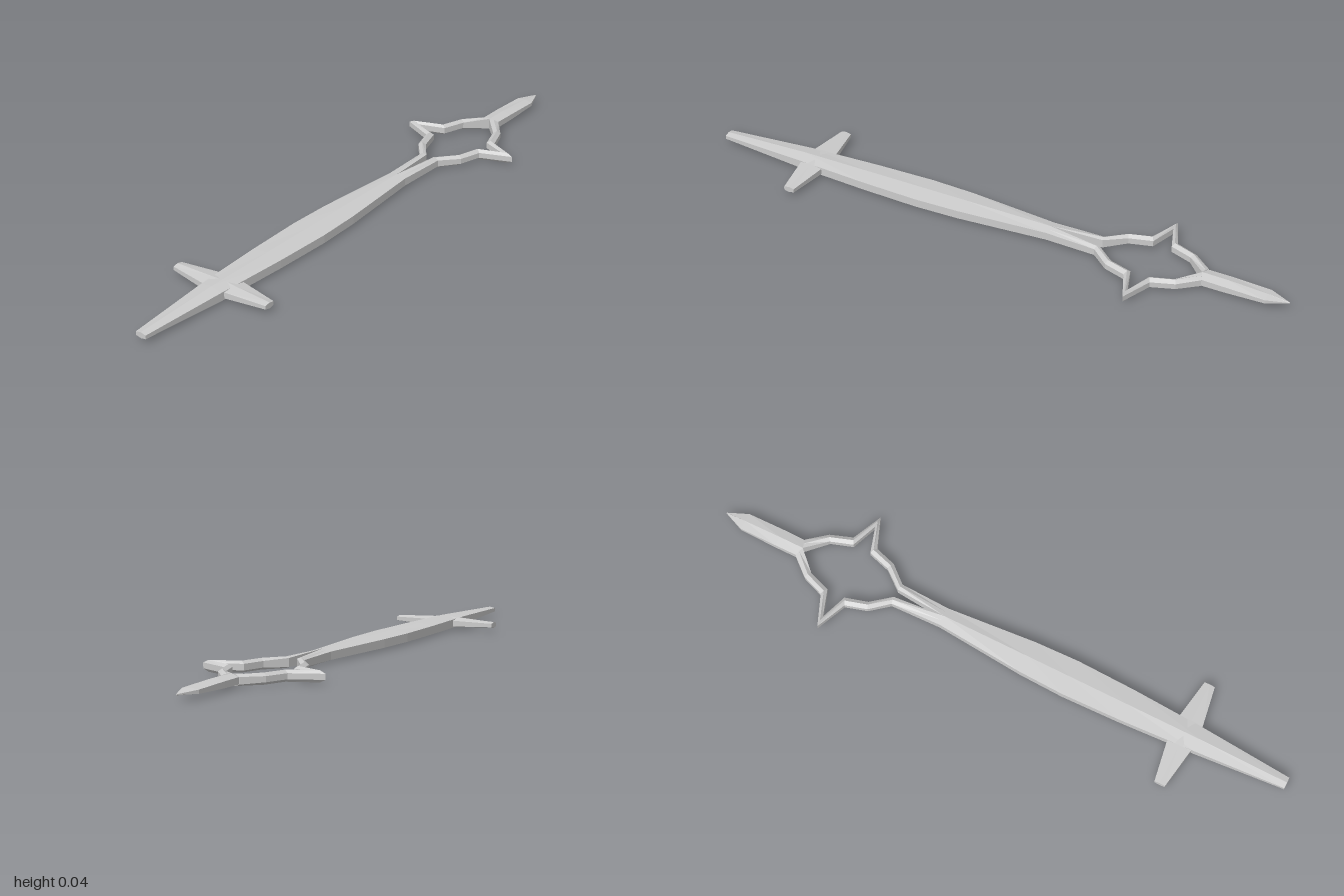
import * as THREE from 'three';

const MID = 0.021; // height of the centre plane
const material = new THREE.MeshStandardMaterial({ color: 0xcccccc, flatShading: true });

// Skins a list of equal-sized rings of points, closes both ends and faces it outwards.
function loft(name, rings) {
  const tris = [];
  const n = rings[0].length;
  for (let i = 0; i + 1 < rings.length; i++) {
    for (let j = 0; j < n; j++) {
      const k = (j + 1) % n;
      const [a, b, c, d] = [rings[i][j], rings[i][k], rings[i + 1][k], rings[i + 1][j]];
      tris.push([a, b, c], [a, c, d]);
    }
  }
  const last = rings[rings.length - 1];
  for (let j = 1; j + 1 < n; j++) {
    tris.push([rings[0][0], rings[0][j + 1], rings[0][j]], [last[0], last[j], last[j + 1]]);
  }
  let volume = 0;
  const cross = new THREE.Vector3();
  for (const [a, b, c] of tris) volume += a.dot(cross.crossVectors(b, c));
  if (volume < 0) tris.forEach((t) => t.reverse());
  const geometry = new THREE.BufferGeometry().setFromPoints(tris.flat());
  geometry.computeVertexNormals();
  const mesh = new THREE.Mesh(geometry, material);
  mesh.name = name;
  return mesh;
}

// Ridged bar section: upright sides, roof-shaped top and bottom.
const ridged = (w, edge, ridge) => [
  [0, ridge], [w, edge], [w, -edge], [0, -ridge], [-w, -edge], [-w, edge],
];
const alongX = ([x, w, edge, ridge]) =>
  ridged(w, edge, ridge).map(([s, h]) => new THREE.Vector3(x, MID + h, s));
const alongZ = ([z, w, edge, ridge]) =>
  ridged(w, edge, ridge).map(([s, h]) => new THREE.Vector3(-0.65 + s, MID + h, z));

// Six-sided strand section between an inner and an outer point.
function strandRing([xi, zi, xo, zo, hi = 0.01, hm = 0.018, ho = 0.009], side) {
  const xm = (xi + xo) / 2, zm = (zi + zo) / 2;
  return [[xi, zi, hi], [xm, zm, hm], [xo, zo, ho], [xo, zo, -ho], [xm, zm, -hm], [xi, zi, -hi]]
    .map(([x, z, h]) => new THREE.Vector3(x, MID + h, z * side));
}

export function createModel() {
  const group = new THREE.Group();
  group.name = 'staff';

  // Long shaft: position, half width, edge half height, ridge half height
  group.add(loft('shaft', [
    [-1, 0.019, 0.006, 0.010],
    [-0.7, 0.041, 0.014, 0.021],
    [-0.45, 0.055, 0.014, 0.021],
    [-0.25, 0.061, 0.014, 0.021],
    [-0.1, 0.056, 0.014, 0.021],
    [0.2, 0.031, 0.013, 0.020],
  ].map(alongX)));

  // Crossguard
  group.add(loft('crossguard', [
    [-0.182, 0.018, 0.006, 0.010],
    [-0.045, 0.04, 0.010, 0.016],
    [0, 0.052, 0.012, 0.020],
    [0.045, 0.04, 0.010, 0.016],
    [0.182, 0.018, 0.006, 0.010],
  ].map(alongZ)));

  // Two mirrored strands forming the spiked ring
  const strand = [
    [0.2, 0, 0.2, 0.031, 0.020, 0.0165, 0.013],
    [0.375, 0.014, 0.37, 0.037, 0.014, 0.018, 0.011],
    [0.44, 0.065, 0.43, 0.088],
    [0.515, 0.087, 0.502, 0.11],
    [0.545, 0.175, 0.545, 0.212],
    [0.577, 0.087, 0.589, 0.11],
    [0.65, 0.062, 0.663, 0.083],
    [0.715, 0, 0.725, 0.031, 0.018, 0.017, 0.011],
  ];
  for (const side of [1, -1]) {
    group.add(loft(side > 0 ? 'frontRingStrand' : 'backRingStrand',
      strand.map((s) => strandRing(s, side))));
  }

  // Pointed head
  group.add(loft('headPoint', [
    [0.715, 0.029, 0.011, 0.018],
    [0.8, 0.03, 0.010, 0.017],
    [0.93, 0.029, 0.006, 0.010],
    [1, 0.001, 0.001, 0.002],
  ].map(alongX)));

  return group;
}
